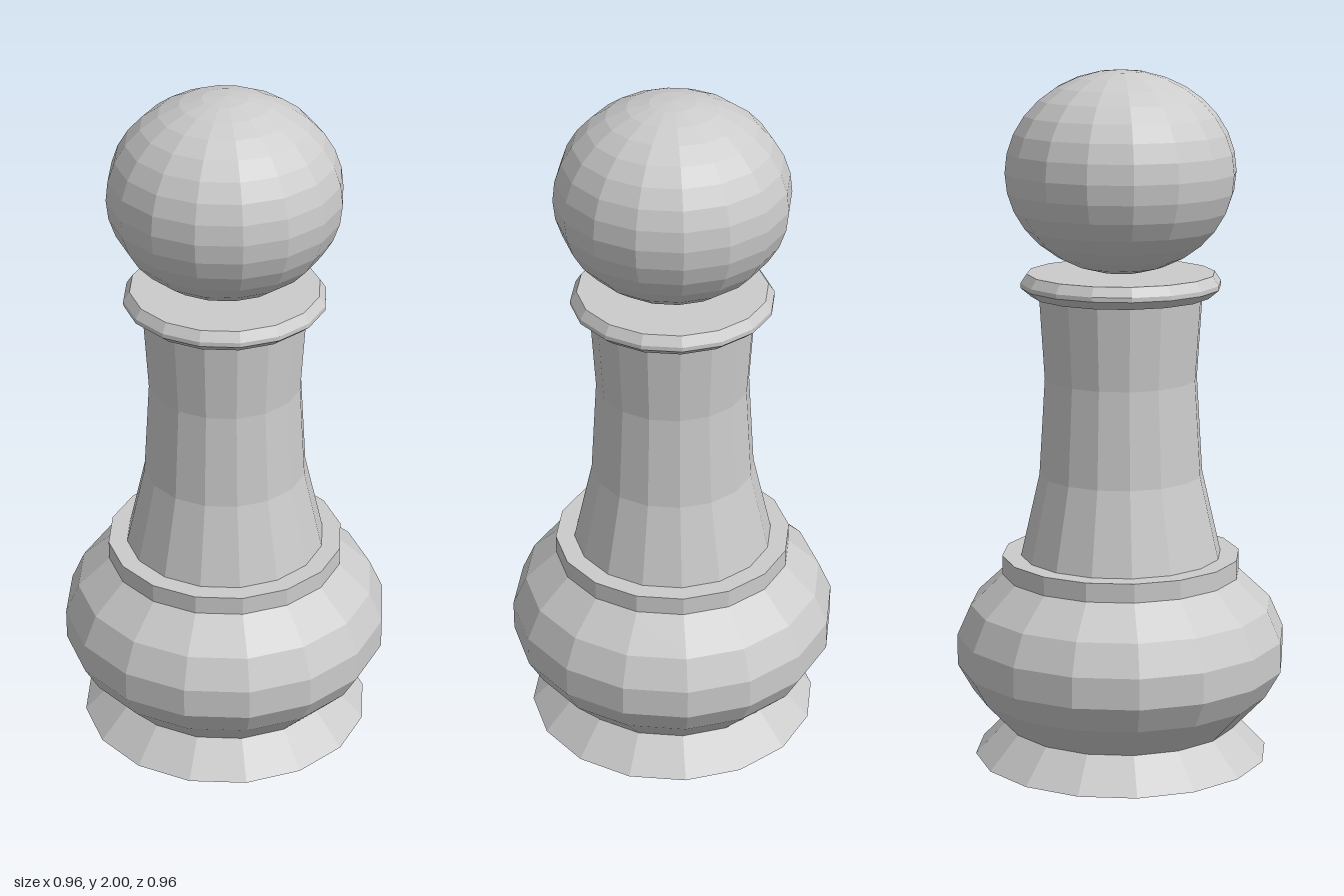
import * as THREE from 'three';

const SIDES = 16;

export function createModel() {
  const group = new THREE.Group();
  const material = new THREE.MeshStandardMaterial({ color: 0xcccccc, flatShading: true });

  const add = (name, geometry) => {
    const mesh = new THREE.Mesh(geometry, material);
    mesh.name = name;
    group.add(mesh);
    return mesh;
  };
  // Turned part from [radius, height] pairs, listed bottom to top
  const turned = (name, profile) =>
    add(name, new THREE.LatheGeometry(profile.map(([r, y]) => new THREE.Vector2(r, y)), SIDES));

  // Flared foot, closed underneath
  turned('foot', [[0, 0], [0.43, 0], [0.34, 0.095]]);

  // Rounded bulge of the base
  turned('baseBulge', [
    [0.34, 0.095], [0.435, 0.196], [0.48, 0.275], [0.48, 0.365], [0.44, 0.455], [0.345, 0.545],
  ]);

  // Flat ring on top of the bulge
  turned('lowerCollar', [[0.33, 0.545], [0.347, 0.545], [0.347, 0.6], [0.28, 0.6]]);

  // Tapering stem
  turned('stem', [[0.292, 0.6], [0.237, 0.84], [0.22, 1.12], [0.235, 1.36]]);

  // Bevelled ring under the head
  turned('upperCollar', [
    [0.22, 1.36], [0.258, 1.36], [0.288, 1.385], [0.288, 1.398], [0.27, 1.425], [0, 1.425],
  ]);

  // Slightly flattened ball head
  const head = add('head', new THREE.SphereGeometry(0.33, SIDES, SIDES));
  head.scale.y = 0.288 / 0.33;
  head.position.y = 1.712;

  return group;
}
